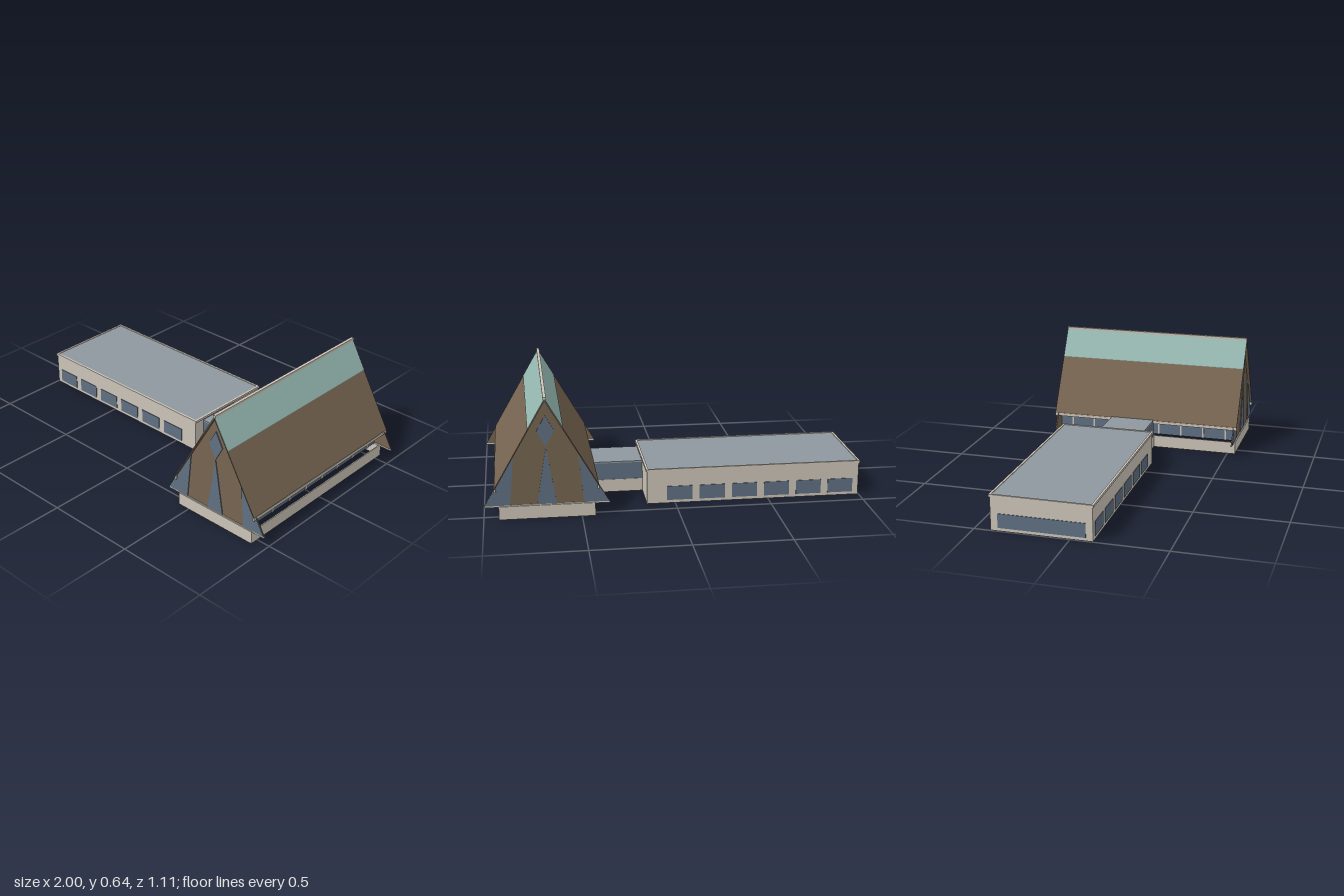
import * as THREE from 'three';

export function createModel() {
  const mat = (name, color, side = THREE.FrontSide) => {
    const m = new THREE.MeshStandardMaterial({ color, side });
    m.name = name;
    return m;
  };
  const beige = mat('beige plaster', 0xcbc3b7);
  const brown = mat('brown shingle', 0x756450, THREE.DoubleSide);
  const teal = mat('pale green roofing', 0x95b8b0);
  const glass = mat('blue glass', 0x5f6f82);
  const gray = mat('gray flat roof', 0x8f989f);

  const model = new THREE.Group();
  const add = (name, geo, material, parent) => {
    const mesh = new THREE.Mesh(geo, material);
    mesh.name = name;
    parent.add(mesh);
    return mesh;
  };
  // Box given by its minimum and maximum corners
  const box = (name, material, parent, x0, x1, y0, y1, z0, z1) => {
    const mesh = add(name, new THREE.BoxGeometry(x1 - x0, y1 - y0, z1 - z0), material, parent);
    mesh.position.set((x0 + x1) / 2, (y0 + y1) / 2, (z0 + z1) / 2);
    return mesh;
  };
  const shapeOf = (pts) => new THREE.Shape(pts.map(([x, y]) => new THREE.Vector2(x, y)));
  // Outline extruded along z, centred on z
  const prism = (name, material, parent, pts, z, depth) => {
    const geo = new THREE.ExtrudeGeometry(shapeOf(pts), { depth, bevelEnabled: false });
    geo.translate(0, 0, z - depth / 2);
    return add(name, geo, material, parent);
  };
  // Rectangular ring of walls, open at top and bottom
  const ring = (name, material, parent, x0, x1, y0, y1, z0, z1, t = 0.006) => {
    const rect = (i) => [[x0 + i, -z1 + i], [x1 - i, -z1 + i], [x1 - i, -z0 - i], [x0 + i, -z0 - i]];
    const shape = shapeOf(rect(0));
    shape.holes.push(shapeOf(rect(t)));
    const geo = new THREE.ExtrudeGeometry(shape, { depth: y1 - y0, bevelEnabled: false });
    geo.rotateX(-Math.PI / 2).translate(0, y0, 0);
    return add(name, geo, material, parent);
  };

  // ---- Steep gabled hall ----
  const hall = new THREE.Group();
  hall.name = 'gabledHall';
  hall.position.x = 0.677;
  model.add(hall);
  const APEX = 0.63, SLOPE = 1.73, LEN = 1.11;
  const roofY = (off) => APEX - off * SLOPE;

  ring('hallBaseWalls', beige, hall, -0.246, 0.246, 0, 0.07, -0.545, 0.545);

  // Sloping strip between two distances from the ridge, d0 to d1 below the slope line
  const slope = (name, material, s, a, b, d0, d1) =>
    prism(name, material, hall, [
      [s * a, roofY(a) - d0], [s * b, roofY(b) - d0],
      [s * b, roofY(b) - d1], [s * a, roofY(a) - d1]], 0, LEN);

  for (const s of [-1, 1]) {
    slope('roofSlope', brown, s, 0, 0.265, 0, 0.01);
    slope('upperRoofBand', teal, s, 0, 0.09, -0.003, 0);
    const e = s * 0.262;
    box('eaveFascia', beige, hall, e - 0.005, e + 0.005, 0.15, 0.167, -LEN / 2, LEN / 2);

    // Recessed side glazing with posts
    const g = s * 0.21;
    box('sideGlazing', glass, hall, g - 0.003, g + 0.003, 0.07, 0.2, -0.532, 0.532);
    for (let i = 0; i < 8; i++) {
      const z = 0.48 - i * 0.1343;
      box('glazingPost', beige, hall, g - 0.006, g + 0.006, 0.07, 0.2, z - 0.005, z + 0.005);
    }
  }
  box('ridgeCap', beige, hall, -0.008, 0.008, 0.627, 0.64, -LEN / 2, LEN / 2);

  // Gable ends with pointed windows
  const HALF = 0.32, FOOT = 0.075;
  const edge = (y) => (APEX - 0.006 - y) / SLOPE;
  for (const f of [-1, 1]) {
    const z = f * 0.535;
    prism('gableWall', brown, hall, [[-HALF, FOOT], [HALF, FOOT], [0, APEX - 0.005]], z, 0.004);
    box('gableSill', beige, hall, -HALF, HALF, 0.066, FOOT, z - 0.004, z + 0.004);
    const pane = (name, pts) => prism(name, glass, hall, pts, z + f * 0.004, 0.004);
    pane('diamondWindow', [[0, 0.38], [0.044, 0.462], [0, 0.543], [-0.044, 0.462]]);
    pane('centerWindow', [[-0.05, FOOT], [0.05, FOOT], [0, 0.378]]);
    for (const s of [-1, 1]) {
      pane('cornerWindow', [[s * 0.188, FOOT], [s * edge(FOOT), FOOT], [s * edge(0.342), 0.342]]);
    }
  }

  // ---- Connecting passage ----
  const link = new THREE.Group();
  link.name = 'passage';
  model.add(link);
  ring('passageBaseWalls', beige, link, 0.15, 0.432, 0, 0.07, -0.2, 0.055);
  ring('passageGlazing', glass, link, 0.15, 0.432, 0.07, 0.163, -0.198, 0.053);
  box('passageRoof', gray, link, 0.15, 0.432, 0.163, 0.171, -0.2, 0.055);

  // ---- Long low wing ----
  const wing = new THREE.Group();
  wing.name = 'lowWing';
  model.add(wing);
  ring('wingWalls', beige, wing, -0.995, 0.15, 0, 0.18, -0.413, 0.116);
  ring('wingRoofRim', beige, wing, -1, 0.155, 0.178, 0.191, -0.418, 0.121, 0.012);
  box('wingRoof', gray, wing, -0.988, 0.143, 0.181, 0.188, -0.406, 0.109);
  box('wingCeiling', beige, wing, -0.99, 0.145, 0.175, 0.18, -0.408, 0.111);
  for (let i = 0; i < 6; i++) {
    const x = -0.895 + i * 0.1742;
    for (const z of [-0.413, 0.116]) {
      box('wingWindow', glass, wing, x - 0.068, x + 0.068, 0.017, 0.093, z - 0.003, z + 0.003);
    }
  }
  box('wingEndWindow', glass, wing, -0.998, -0.992, 0.017, 0.093, -0.375, 0.08);

  // Clockwise outlines were mirrored copies: keep every extruded cap facing outward
  return model;
}
